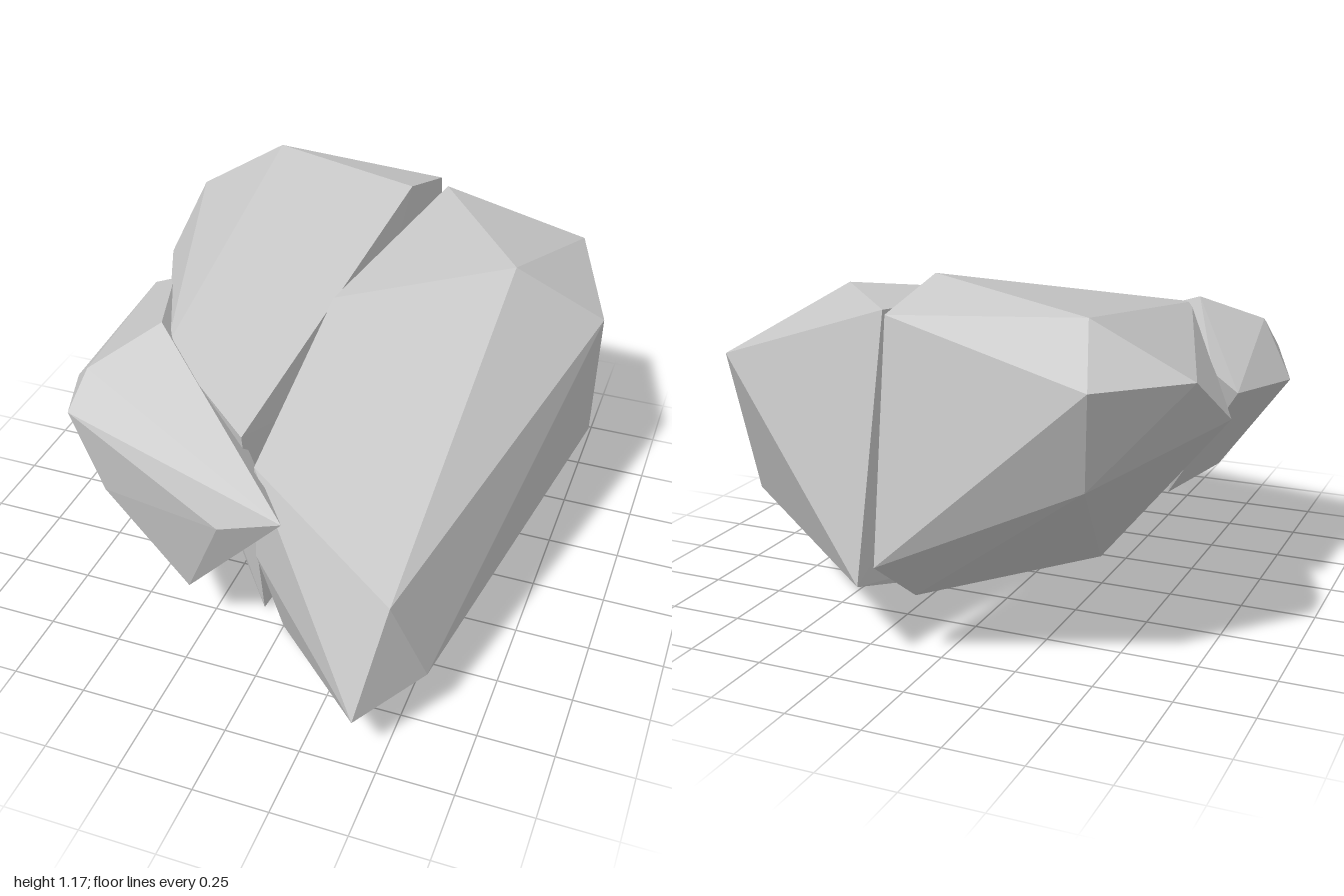
import * as THREE from 'three';
import { ConvexGeometry } from 'three/addons/geometries/ConvexGeometry.js';

// Corner points [x, y, z] of each faceted fragment of the split boulder
const fragments = {
  leftSideFragment: [
    // top and outer corners
    [0.16, 1.09, -0.77], [0.53, 1.065, -0.32], [0.82, 0.84, -0.46], [0.81, 0.365, -0.48],
    [0.66, 0.93, -0.85], [0.19, 0.27, -0.92],
    // pointed front end
    [0.49, 0.56, 0.87], [0.42, 0.19, 1.0], [0.58, 0.21, 0.75],
    // edge of the split
    [0, 1.02, 0], [-0.02, 0.785, 0.65], [-0.025, 0.43, 0.65],
    // underside
    [0, 0, 0.5], [0.35, 0.02, 0.68], [0.46, 0.045, -0.43], [0.1, 0.01, -0.05],
  ],
  rearFragment: [
    // top and back corners
    [0.085, 1.17, -0.57], [-0.5, 1.13, -0.81], [0.12, 1.09, -0.83], [-0.57, 0.97, -1.0],
    [0.12, 0.35, -0.94], [-0.79, 0.96, -0.74], [-0.82, 0.79, -0.48], [-0.52, 0.65, -0.88],
    // front edge under the small fragment
    [-0.09, 0.83, 0.58], [-0.44, 0.95, 0.35], [-0.48, 0.4, 0.1],
    // bulge of the split face
    [0.04, 0.6, -0.15],
    // underside
    [-0.19, 0.035, 0.15], [-0.085, 0.025, 0.46], [0.1, 0.18, -0.72],
  ],
  smallFrontFragment: [
    // upper ridge
    [-0.49, 0.985, 0.28], [0.13, 0.725, 0.81], [-0.67, 0.885, 0.47],
    [-0.77, 0.8, -0.23], [-0.68, 0.85, -0.2],
    // outer face
    [-0.09, 0.63, 0.79], [-0.70, 0.77, 0.57], [-0.81, 0.72, 0.3], [-0.59, 0.49, 0.575],
    // lower edge
    [-0.28, 0.21, 0.63], [-0.53, 0.34, 0.45], [-0.45, 0.33, 0.1],
  ],
};

export function createModel() {
  const model = new THREE.Group();
  model.name = 'splitBoulder';
  const stone = new THREE.MeshStandardMaterial({ color: 0xc8c8c8 });
  stone.name = 'stone grey';

  for (const [name, corners] of Object.entries(fragments)) {
    const points = corners.map((c) => new THREE.Vector3(...c));
    const mesh = new THREE.Mesh(new ConvexGeometry(points), stone);
    mesh.name = name;
    model.add(mesh);
  }
  return model;
}
